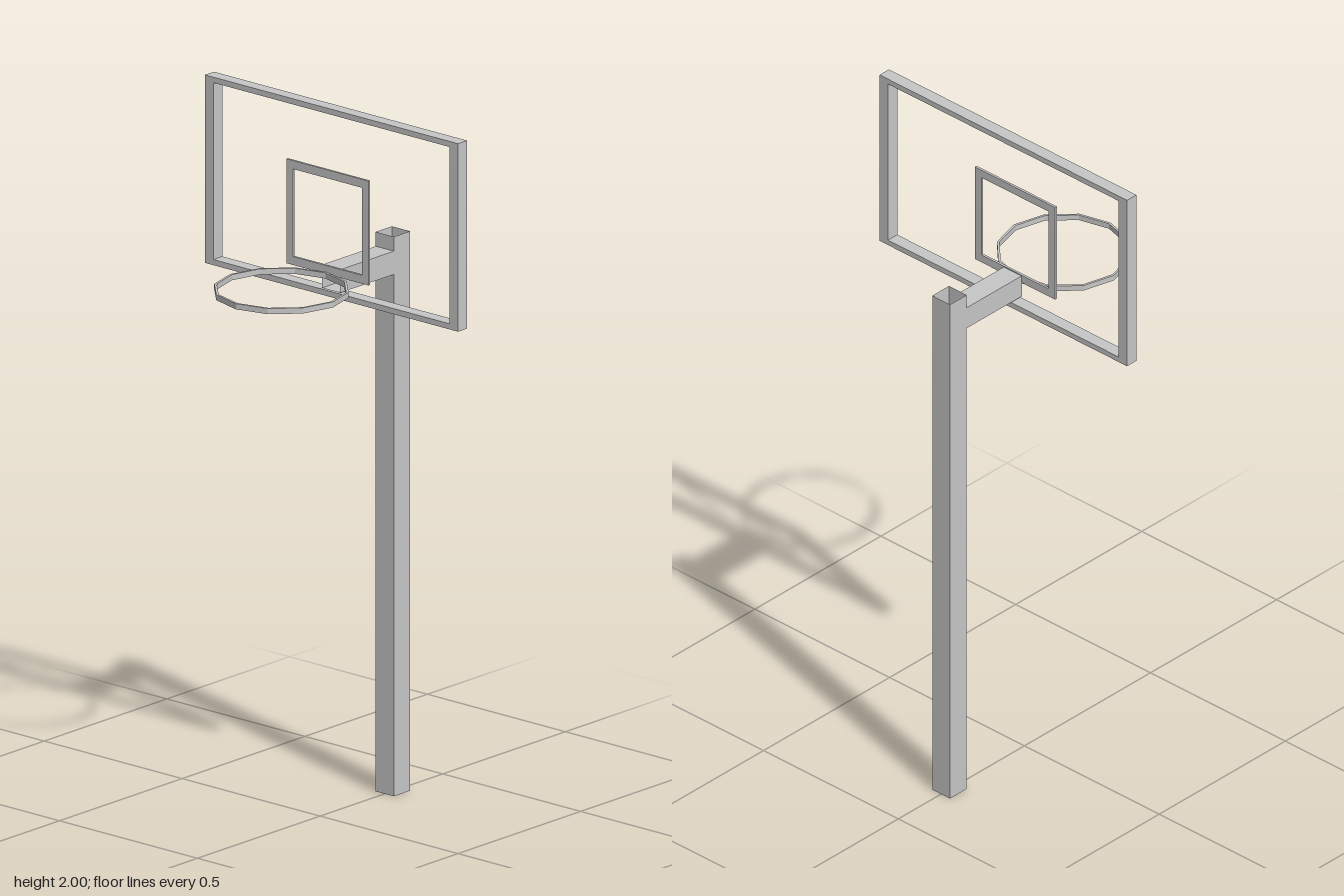
import * as THREE from 'three';

export function createModel() {
  const model = new THREE.Group();
  const metal = new THREE.MeshStandardMaterial({ color: 0xc6c6c6, flatShading: true, side: THREE.DoubleSide });
  metal.name = 'light grey metal';

  const add = (name, geometry, parent = model) => {
    const mesh = new THREE.Mesh(geometry, metal);
    mesh.name = name;
    parent.add(mesh);
    return mesh;
  };

  // Rectangular frame in the yz plane: two full-height uprights with crossbars between them
  const frame = (name, x, depth, y0, y1, z0, z1, sideBar, crossBar) => {
    const group = new THREE.Group();
    group.name = name;
    for (const z of [z0 + sideBar / 2, z1 - sideBar / 2]) {
      add('upright', new THREE.BoxGeometry(depth, y1 - y0, sideBar), group).position.set(x, (y0 + y1) / 2, z);
    }
    for (const y of [y0 + crossBar / 2, y1 - crossBar / 2]) {
      add('crossbar', new THREE.BoxGeometry(depth, crossBar, z1 - z0 - 2 * sideBar), group)
        .position.set(x, y, (z0 + z1) / 2);
    }
    model.add(group);
  };

  // Square tube with open ends, standing along y
  const squareTube = (width, length) => {
    const r = width / Math.SQRT2;
    return new THREE.CylinderGeometry(r, r, length, 4, 1, true).rotateY(Math.PI / 4);
  };

  // Post and the arm that carries the backboard
  add('post', squareTube(0.066, 1.592).translate(0.297, 0.796, 0));
  add('arm', squareTube(0.066, 0.219).rotateZ(Math.PI / 2).translate(0.1545, 1.518, 0));

  // Backboard border and target square
  frame('backboardFrame', 0.065, 0.037, 1.465, 2, -0.459, 0.459, 0.031, 0.016);
  frame('targetSquare', 0.0435, 0.007, 1.53, 1.827, -0.158, 0.14, 0.024, 0.024);

  // Twelve-sided hoop with a rectangular section
  const section = [[0.179, -0.008], [0.186, -0.008], [0.186, 0.008], [0.179, 0.008], [0.179, -0.008]]
    .map(([r, y]) => new THREE.Vector2(r, y));
  add('hoop', new THREE.LatheGeometry(section, 12)).position.set(-0.145, 1.527, -0.011);

  return model;
}
